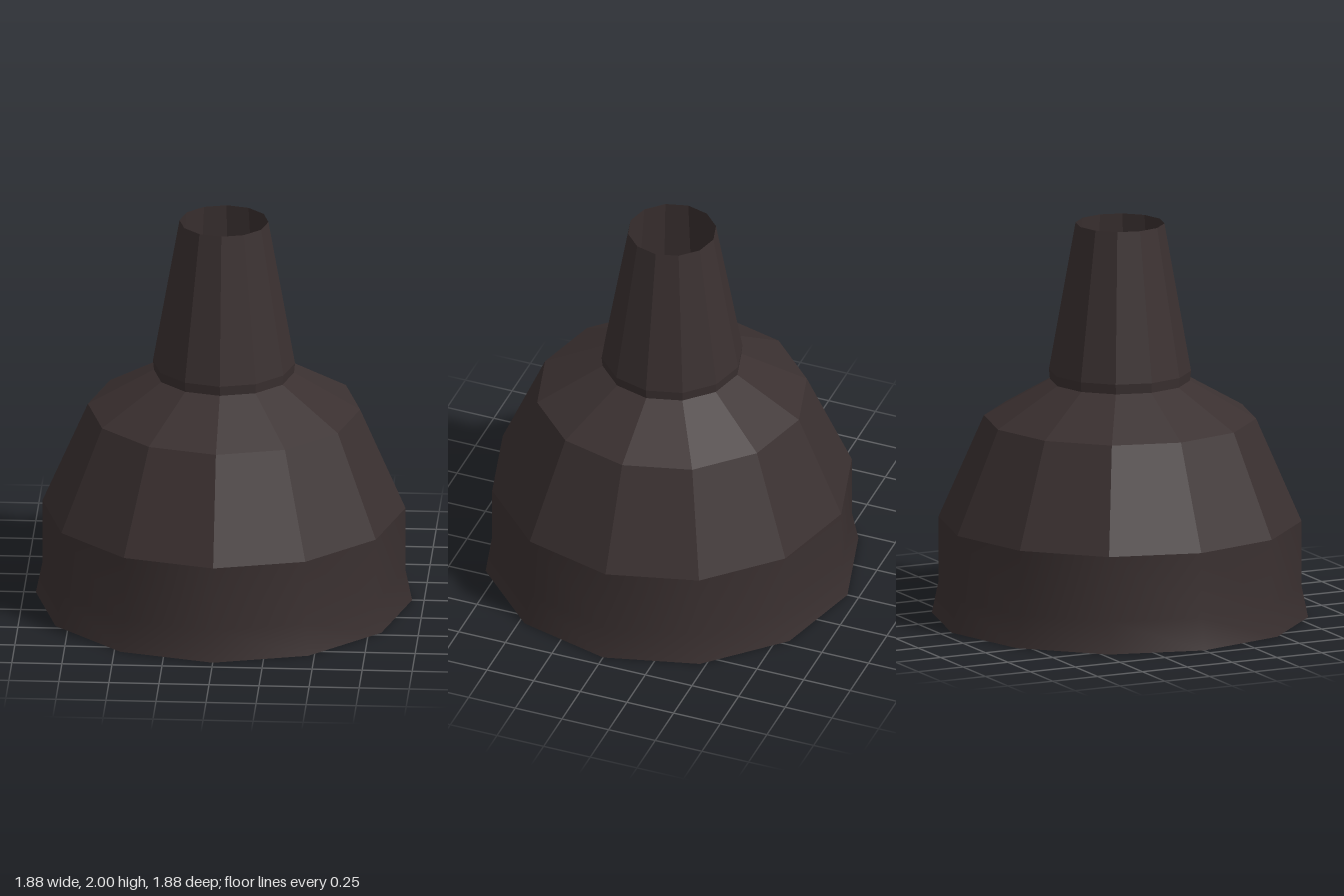
import * as THREE from 'three';

const SIDES = 12;

// Spins a profile of [radius, height] pairs; facets are flat unless smooth is set
function ring(name, profile, material, smooth = false) {
  const points = profile.map(([r, y]) => new THREE.Vector2(r, y));
  let geometry = new THREE.LatheGeometry(points, SIDES);
  if (!smooth) {
    geometry = geometry.toNonIndexed();
    geometry.computeVertexNormals();
  }
  const mesh = new THREE.Mesh(geometry, material);
  mesh.name = name;
  return mesh;
}

export function createModel() {
  const group = new THREE.Group();
  group.name = 'hollowNozzle';
  const dark = new THREE.MeshStandardMaterial({ color: 0x3a3030 });
  dark.name = 'dark brown';

  group.add(
    // Smooth lower band with a flared foot
    ring('skirt', [[0.94, 0], [0.907, 0.16], [0.907, 0.49]], dark, true),
    // Faceted shoulder closing in towards the neck
    ring('shoulder', [[0.907, 0.49], [0.68, 1.01], [0.35, 1.2]], dark),
    // Tapered open neck with a small collar at its foot
    ring('neck', [[0.35, 1.2], [0.355, 1.25], [0.222, 2]], dark),
    // Inner wall, running from the top opening down to the foot
    ring('innerWall', [[0.222, 2], [0.3, 1.17], [0.58, 0.95], [0.72, 0.58], [0.845, 0]], dark),
    // Flat rim the model stands on
    ring('bottomRim', [[0.845, 0], [0.94, 0]], dark)
  );
  return group;
}
